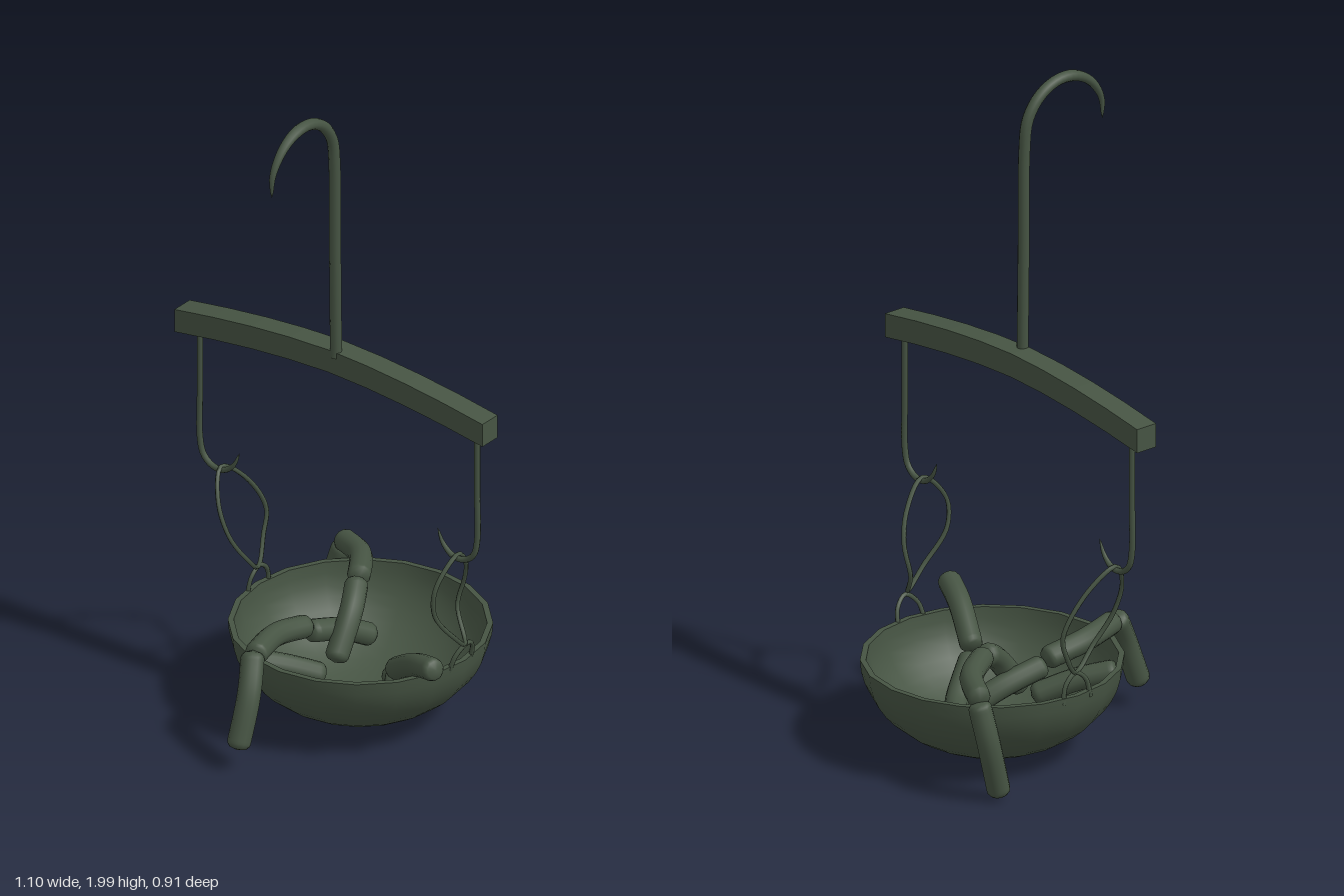
import * as THREE from 'three';
import { mergeVertices } from 'three/addons/utils/BufferGeometryUtils.js';

const material = new THREE.MeshStandardMaterial({ color: 0x465443, roughness: 0.8 });
const bowlMaterial = material.clone();
bowlMaterial.side = THREE.DoubleSide;

// Tube through points; profile(t, length) scales the radius along it
function tube(points, radius, { closed = false, segments = 32, sides = 10, profile = null } = {}) {
  const curve = new THREE.CatmullRomCurve3(points.map(p => new THREE.Vector3(...p)), closed);
  let geo = new THREE.TubeGeometry(curve, segments, radius, sides, closed);
  if (profile) {
    const pos = geo.attributes.position, uv = geo.attributes.uv;
    const length = curve.getLength(), v = new THREE.Vector3();
    for (let i = 0; i < pos.count; i++) {
      const t = uv.getX(i), c = curve.getPointAt(t);
      v.fromBufferAttribute(pos, i).sub(c).multiplyScalar(profile(t, length)).add(c);
      pos.setXYZ(i, v.x, v.y, v.z);
    }
  }
  geo.deleteAttribute('uv');
  geo.deleteAttribute('normal');
  geo = mergeVertices(geo, 1e-5);
  geo.computeVertexNormals();
  return geo;
}

// Sharp point over the last part of a hook
const pointed = start => t => t < start ? 1 : Math.max(0.02, Math.sqrt((1 - t) / (1 - start)));

// Sausage with rounded ends
function sausage(points) {
  const r = 0.034, cap = 0.024;
  return tube(points, r, {
    segments: 36, sides: 12,
    profile: (t, length) => {
      const d = Math.min(t, 1 - t) * length;
      return d >= cap ? 1 : Math.sqrt(Math.max(0, 1 - (1 - d / cap) ** 2));
    },
  });
}

export function createModel() {
  const model = new THREE.Group();
  const add = (name, geometry, mat = material) => {
    const mesh = new THREE.Mesh(geometry, mat);
    mesh.name = name;
    model.add(mesh);
    return mesh;
  };

  // Arched beam
  const shape = new THREE.Shape();
  const n = 8, top = x => 1.2 - 0.055 * Math.pow(Math.abs(x) / 0.55, 1.7);
  for (let i = 0; i <= n; i++) {
    const x = -0.55 + 1.1 * i / n;
    if (i === 0) shape.moveTo(x, top(x) - 0.072);
    else shape.lineTo(x, top(x) - 0.072);
  }
  for (let i = n; i >= 0; i--) {
    const x = -0.55 + 1.1 * i / n;
    shape.lineTo(x, top(x));
  }
  const beam = new THREE.ExtrudeGeometry(shape, { depth: 0.07, bevelEnabled: false });
  beam.translate(0, 0, -0.028);
  add('beam', beam);

  // Main hanging hook
  const hook = [[0.018, 1.18, 0.03], [0.018, 1.5, 0.034], [0.018, 1.8, 0.037]];
  for (let i = 1; i <= 8; i++) {
    const a = Math.PI * i / 9;
    hook.push([0.018, 1.83 + 0.155 * Math.sin(a), 0.185 - 0.147 * Math.cos(a)]);
  }
  hook.push([0.018, 1.82, 0.326]);
  add('hangingHook', tube(hook, 0.017, { segments: 60, profile: pointed(0.8) }));

  // Side hooks, mirrored about x = 0.01
  for (const s of [-1, 1]) {
    const pts = [[0.495, 1.1], [0.495, 0.9], [0.495, 0.74], [0.482, 0.69], [0.45, 0.664],
      [0.41, 0.663], [0.375, 0.69], [0.354, 0.735]];
    add(s < 0 ? 'rightHook' : 'leftHook',
      tube(pts.map(([x, y]) => [0.01 + s * x, y, 0.008]), 0.009,
        { segments: 48, sides: 8, profile: pointed(0.84) }));
  }

  // Wire loops between the hooks and the bowl
  add('rightLoop', tube([[-0.41, 0.67, 0.01], [-0.39, 0.6, -0.085], [-0.37, 0.48, -0.15],
    [-0.365, 0.41, -0.13], [-0.335, 0.343, -0.07], [-0.318, 0.4, 0.005],
    [-0.343, 0.49, 0.058], [-0.378, 0.59, 0.062]], 0.007, { closed: true, segments: 48, sides: 6 }));
  add('leftLoop', tube([[0.432, 0.67, 0.01], [0.4, 0.6, -0.075], [0.366, 0.52, -0.113],
    [0.347, 0.43, -0.105], [0.41, 0.35, -0.06], [0.428, 0.4, 0.01],
    [0.413, 0.5, 0.085], [0.42, 0.59, 0.09]], 0.007, { closed: true, segments: 48, sides: 6 }));

  // Small eyelets on the rim
  for (const [name, x, tilt] of [['rightEyelet', -0.342, 0.006], ['leftEyelet', 0.378, 0.028]]) {
    add(name, tube([[x, 0.26, -0.125], [x + tilt * 0.6, 0.315, -0.112], [x + tilt, 0.343, -0.075],
      [x + tilt * 0.6, 0.315, -0.038], [x, 0.26, -0.025]], 0.007, { segments: 20, sides: 6 }));
  }

  // Bowl with a thin wall
  const outer = [], inner = [];
  for (let i = 0; i <= 12; i++) {
    const a = Math.PI / 2 * i / 12;
    outer.push(new THREE.Vector2(0.375 * Math.sin(a), 0.28 - 0.273 * Math.cos(a)));
    inner.unshift(new THREE.Vector2(0.358 * Math.sin(a), 0.28 - 0.256 * Math.cos(a)));
  }
  const parts = [['bowlOuter', outer], ['bowlInner', inner], ['bowlRim', [outer[12], inner[0]]]];
  for (const [name, profile] of parts) {
    add(name, new THREE.LatheGeometry(profile, 20), bowlMaterial).position.set(0.02, 0, -0.08);
  }

  // Sausages draped over and lying in the bowl
  const links = [
    [[-0.262, 0.315, -0.372], [-0.29, 0.2, -0.36], [-0.287, 0.015, -0.313]],
    [[-0.275, 0.32, -0.375], [-0.16, 0.335, -0.31], [-0.068, 0.342, -0.185]],
    [[-0.068, 0.345, -0.18], [-0.028, 0.29, -0.1], [-0.01, 0.17, 0.0]],
    [[-0.02, 0.17, -0.195], [-0.055, 0.22, -0.1], [-0.085, 0.26, 0.03]],
    [[-0.085, 0.275, 0.02], [-0.097, 0.3, 0.16], [-0.06, 0.31, 0.31]],
    [[-0.065, 0.325, 0.305], [-0.03, 0.22, 0.37], [-0.025, 0.07, 0.43]],
    [[-0.18, 0.22, 0.22], [-0.1, 0.19, 0.13], [-0.02, 0.14, 0.03]],
    [[0.435, 0.34, 0.105], [0.33, 0.305, 0.062], [0.2, 0.22, 0.0]],
    [[0.055, 0.08, -0.175], [0.14, 0.11, -0.11], [0.215, 0.2, 0.01]],
  ];
  links.forEach((points, i) => add('sausage' + (i + 1), sausage(points)));

  return model;
}
